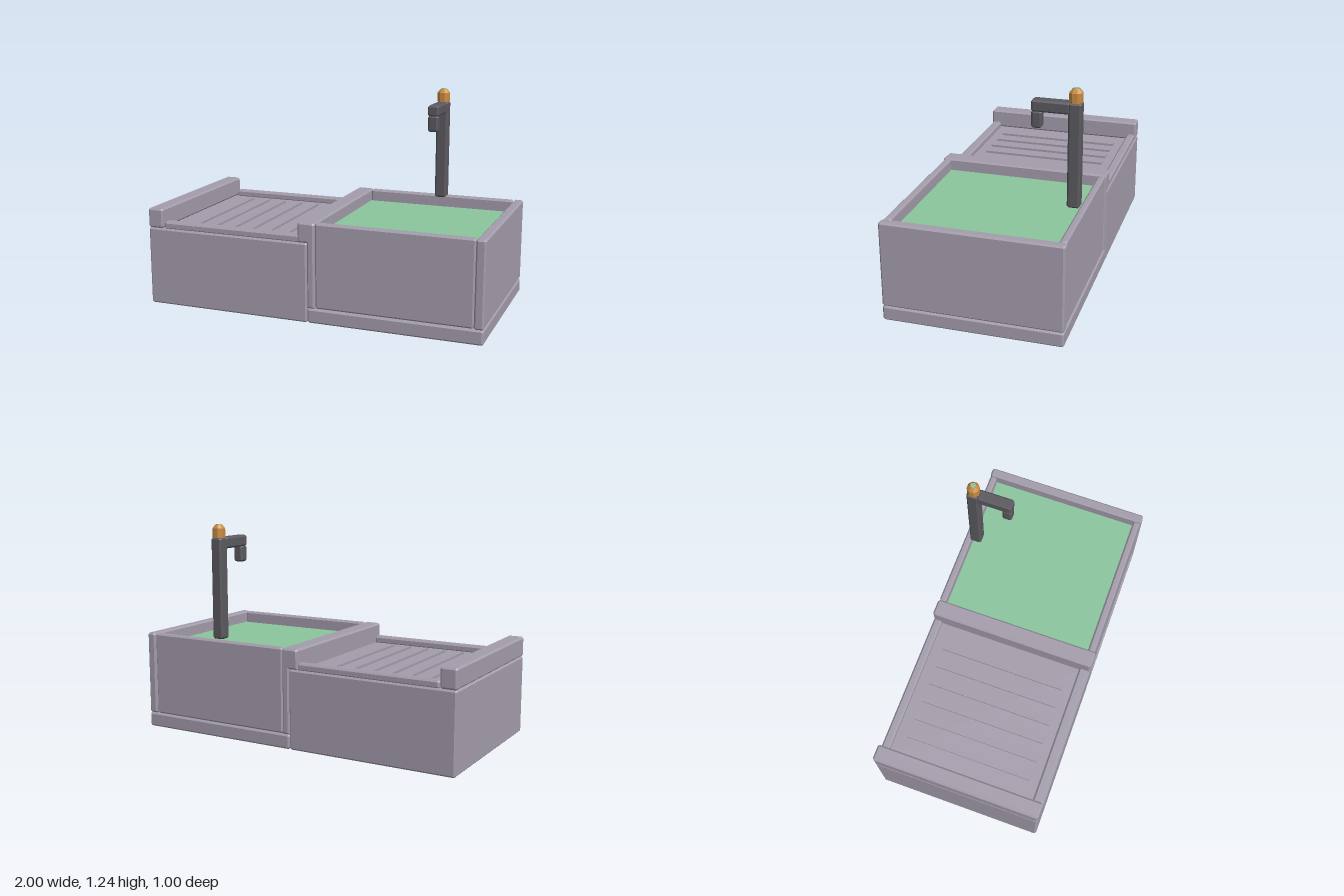
import * as THREE from 'three';
import { ConvexGeometry } from 'three/addons/geometries/ConvexGeometry.js';

const material = (name, color) => {
  const m = new THREE.MeshStandardMaterial({ color });
  m.name = name;
  return m;
};

export function createModel() {
  const group = new THREE.Group();
  const stone = material('mauve stone', 0xa39cab);
  const water = material('green water', 0x8ac49c);
  const iron = material('dark iron', 0x5b595f);
  const brass = material('brass', 0xc98b40);

  function add(name, geometry, mat, x = 0, y = 0, z = 0) {
    const mesh = new THREE.Mesh(geometry, mat);
    mesh.name = name;
    mesh.position.set(x, y, z);
    group.add(mesh);
    return mesh;
  }

  // Box with chamfered edges, given by its extents
  function block(name, mat, [x0, x1], [y0, y1], [z0, z1], b = 0.01) {
    const h = [(x1 - x0) / 2, (y1 - y0) / 2, (z1 - z0) / 2];
    const points = [];
    for (const sx of [-1, 1]) for (const sy of [-1, 1]) for (const sz of [-1, 1]) {
      for (let axis = 0; axis < 3; axis++) {
        const p = h.map((v, i) => (i === axis ? v : v - b));
        points.push(new THREE.Vector3(sx * p[0], sy * p[1], sz * p[2]));
      }
    }
    return add(name, new ConvexGeometry(points), mat, (x0 + x1) / 2, (y0 + y1) / 2, (z0 + z1) / 2);
  }

  const full = [-0.5, 0.5];

  // Draining side
  block('drainerBlock', stone, [-1, 0], [0, 0.46], full);
  block('drainerEndBar', stone, [-1, -0.905], [0.46, 0.575], full);
  block('drainerFrontLip', stone, [-0.9, -0.05], [0.455, 0.5], [0.435, 0.492]);
  block('drainerBackLip', stone, [-0.9, -0.05], [0.455, 0.5], [-0.495, -0.445]);
  for (let i = 0; i < 6; i++) {
    add('drainerRib', new THREE.BoxGeometry(0.045, 0.014, 0.76), stone, -0.48 + (i - 2.5) * 0.115, 0.466, 0);
  }

  // Divider with a cap that overhangs the draining side
  const b = 0.01;
  const profile = new THREE.Shape([
    [0, 0.085], [0.045, 0.085], [0.045, 0.565], [0.035, 0.575],
    [-0.045, 0.575], [-0.055, 0.565], [-0.055, 0.46], [0, 0.46],
  ].map(([x, y]) => new THREE.Vector2(x, y)));
  const divider = new THREE.ExtrudeGeometry(profile, {
    depth: 1 - 2 * b, bevelThickness: b, bevelSize: b, bevelOffset: -b, bevelSegments: 1,
  });
  divider.translate(0, 0, -0.5 + b);
  add('divider', divider, stone);

  // Basin
  block('basinBase', stone, [0, 1], [0, 0.085], full);
  block('basinSideWall', stone, [0.945, 1], [0.085, 0.575], full);
  block('basinFrontWall', stone, [0.045, 0.945], [0.085, 0.575], [0.45, 0.492]);
  block('basinBackWall', stone, [0.045, 0.945], [0.085, 0.575], [-0.495, -0.455]);
  add('waterSurface', new THREE.BoxGeometry(0.91, 0.009, 0.92), water, 0.495, 0.5, 0);

  // Tap
  block('tapPost', iron, [0.475, 0.545], [0.575, 1.16], [-0.46, -0.39]);
  block('tapArm', iron, [0.477, 0.543], [1.095, 1.16], [-0.4, -0.19]);
  block('tapSpout', iron, [0.48, 0.54], [1.005, 1.1], [-0.247, -0.19]);

  // Eight-sided knob with a small coloured top
  const knob = new THREE.LatheGeometry([
    [0, 0], [0.037, 0], [0.037, 0.053], [0.02, 0.074], [0, 0.074],
  ].map(([r, y]) => new THREE.Vector2(r, y)), 8, Math.PI / 8).toNonIndexed();
  knob.computeVertexNormals();
  add('tapKnob', knob, brass, 0.51, 1.16, -0.425);
  add('knobTop', new THREE.CylinderGeometry(0.016, 0.016, 0.003, 8), water, 0.51, 1.235, -0.425);

  return group;
}
